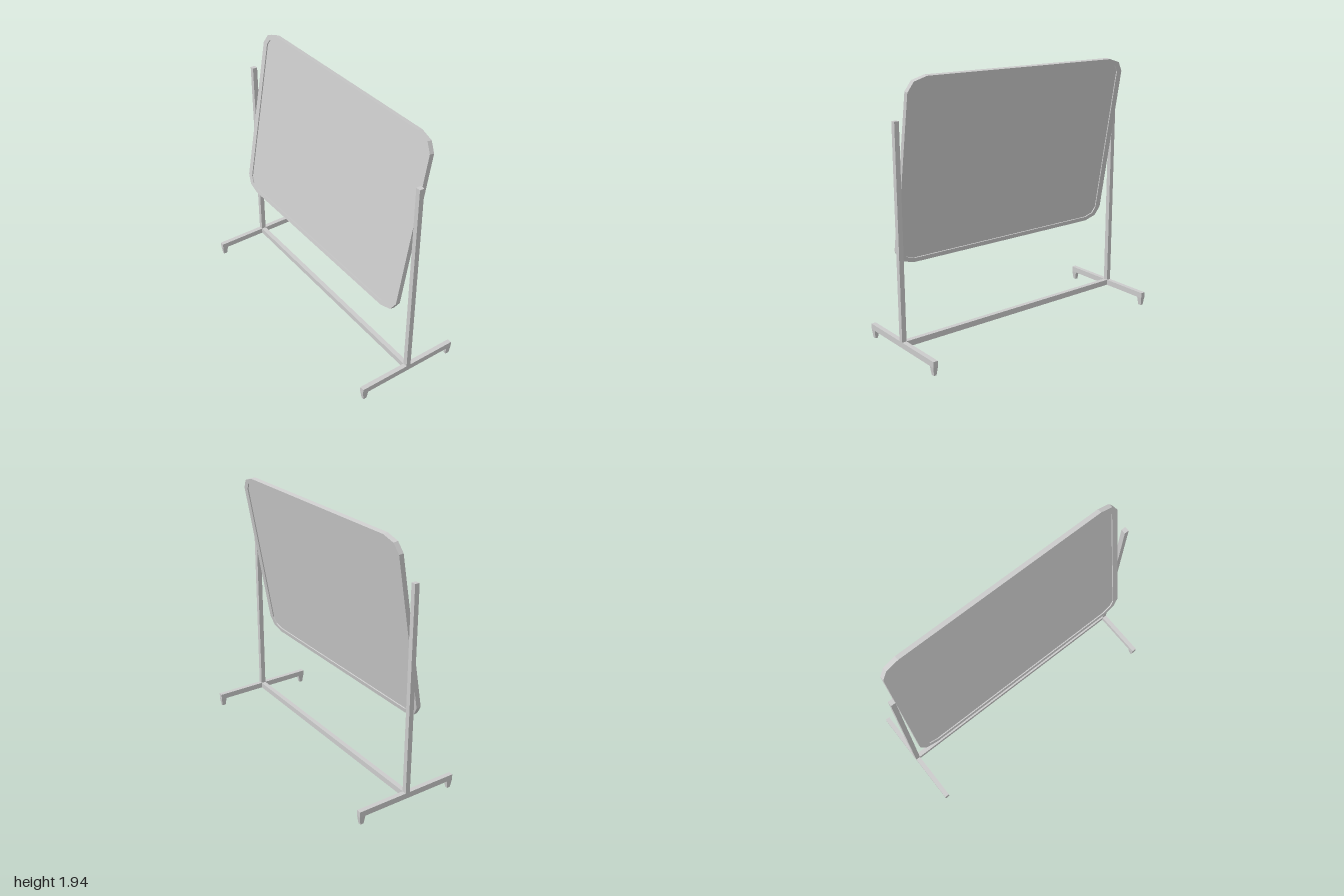
import * as THREE from 'three';

const material = new THREE.MeshStandardMaterial({ color: 0xcccccc, flatShading: true });

function addMesh(parent, name, geometry, x = 0, y = 0, z = 0) {
  const mesh = new THREE.Mesh(geometry, material);
  mesh.name = name;
  mesh.position.set(x, y, z);
  parent.add(mesh);
  return mesh;
}

// Rectangle with two-step chamfered corners; corner = offsets from the sharp corner
function outline(halfW, halfH, corner) {
  const quarter = corner.map(([dx, dy]) => [halfW - dx, halfH - dy]);
  const back = [...quarter].reverse();
  return [
    ...quarter,
    ...back.map(([x, y]) => [-x, y]),
    ...quarter.map(([x, y]) => [-x, -y]),
    ...back.map(([x, y]) => [x, -y]),
  ].map(([x, y]) => new THREE.Vector2(x, y));
}

function slab(shape, depth) {
  const geometry = new THREE.ExtrudeGeometry(shape, { depth, bevelEnabled: false });
  return geometry.translate(0, 0, -depth / 2);
}

// Short foot, narrowing towards the floor
function footGeometry() {
  const geometry = new THREE.BoxGeometry(0.035, 0.065, 0.045);
  const p = geometry.attributes.position;
  for (let i = 0; i < p.count; i++) {
    if (p.getY(i) < 0) {
      p.setX(i, p.getX(i) * 0.6);
      p.setZ(i, p.getZ(i) * 0.6);
    }
  }
  geometry.computeVertexNormals();
  return geometry;
}

export function createModel() {
  const model = new THREE.Group();
  model.name = 'tiltingBoard';

  // Board: frame around a recessed panel, leaning back
  const board = new THREE.Group();
  board.name = 'board';
  board.position.y = 1.277;
  board.rotation.x = -THREE.MathUtils.degToRad(10);
  model.add(board);

  const inner = outline(0.908, 0.635, [[0, 0.07], [0.03, 0.022], [0.1, 0]]);
  const frame = new THREE.Shape(outline(0.955, 0.667, [[0, 0.1], [0.043, 0.03], [0.14, 0]]));
  frame.holes.push(new THREE.Path(inner));
  addMesh(board, 'boardFrame', slab(frame, 0.035));
  addMesh(board, 'boardPanel', slab(new THREE.Shape(inner), 0.018));

  // Stand: a post, a floor bar and two feet on each side
  const foot = footGeometry();
  for (const side of [1, -1]) {
    const stand = new THREE.Group();
    stand.name = side > 0 ? 'leftStand' : 'rightStand';
    stand.position.x = side * 0.9825;
    model.add(stand);
    addMesh(stand, 'post', new THREE.BoxGeometry(0.035, 1.535, 0.036), 0, 0.8725, 0);
    addMesh(stand, 'floorBar', new THREE.BoxGeometry(0.035, 0.043, 0.808), 0, 0.0835, 0);
    for (const end of [1, -1]) {
      addMesh(stand, end > 0 ? 'frontFoot' : 'backFoot', foot, 0, 0.0325, end * 0.3815);
    }
  }

  // Cross bar joining the two stands
  addMesh(model, 'crossBar', new THREE.BoxGeometry(1.93, 0.043, 0.036), 0, 0.0835, 0);

  return model;
}
